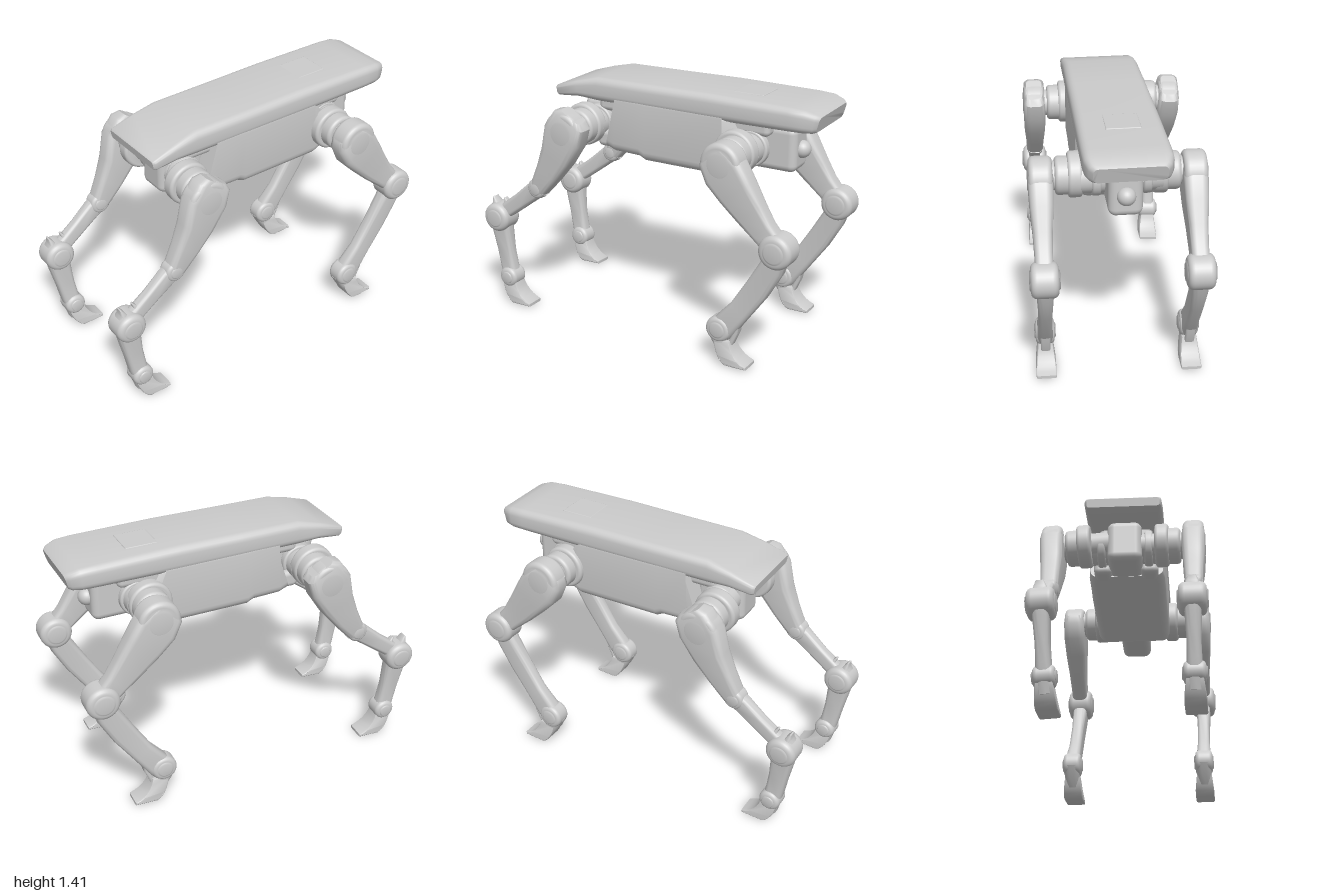
import * as THREE from 'three';
import { toCreasedNormals } from 'three/addons/utils/BufferGeometryUtils.js';
import { RoundedBoxGeometry } from 'three/addons/geometries/RoundedBoxGeometry.js';

const material = new THREE.MeshStandardMaterial({ color: 0xcccccc, roughness: 0.7 });

function add(parent, name, geometry, x = 0, y = 0, z = 0) {
  const mesh = new THREE.Mesh(geometry, material);
  mesh.name = name;
  mesh.position.set(x, y, z);
  parent.add(mesh);
  return mesh;
}

// Rounded-rectangle sections swept along a path in the xy plane.
// Each station: [x, y, half thickness in plane, half depth in z, z centre]
function sweep(stations, round = 0.7, steps = 5) {
  const pos = [], index = [], n = 4 * (steps + 1);
  stations.forEach(([x, y, w, d, zc = 0], i) => {
    const a = stations[Math.max(i - 1, 0)], b = stations[Math.min(i + 1, stations.length - 1)];
    const len = Math.hypot(b[0] - a[0], b[1] - a[1]);
    const nx = -(b[1] - a[1]) / len, ny = (b[0] - a[0]) / len;
    const r = Math.min(w, d) * round;
    for (let c = 0; c < 4; c++) {
      const su = c === 0 || c === 3 ? 1 : -1, sv = c < 2 ? 1 : -1;
      for (let k = 0; k <= steps; k++) {
        const t = (c + k / steps) * Math.PI / 2;
        const u = su * (w - r) + r * Math.cos(t), v = sv * (d - r) + r * Math.sin(t);
        pos.push(x + nx * u, y + ny * u, zc + v);
      }
    }
  });
  const last = stations.length - 1;
  for (let i = 0; i < last; i++) for (let j = 0; j < n; j++) {
    const a = i * n + j, b = i * n + (j + 1) % n;
    index.push(a, b, a + n, b, b + n, a + n);
  }
  for (let j = 1; j < n - 1; j++) {
    index.push(0, j + 1, j, last * n, last * n + j, last * n + j + 1);
  }
  const g = new THREE.BufferGeometry();
  g.setAttribute('position', new THREE.Float32BufferAttribute(pos, 3));
  g.setIndex(index);
  return toCreasedNormals(g, 0.7);
}

// Rounded drum on the z axis with a shallow raised cap on both faces
function drum(r, depth) {
  const h = depth / 2, e = Math.min(r, h) * 0.4, pts = [];
  const half = [[0, h], [r * 0.5, h], [r * 0.6, h - 0.007], [r - e, h - 0.007]];
  for (let k = 1; k <= 5; k++) {
    const t = k / 5 * Math.PI / 2;
    half.push([r - e + e * Math.sin(t), h - 0.007 - e + e * Math.cos(t)]);
  }
  half.forEach(([x, y]) => pts.push(new THREE.Vector2(x, -y)));
  half.reverse().forEach(([x, y]) => pts.push(new THREE.Vector2(x, y)));
  return new THREE.LatheGeometry(pts, 36).rotateX(Math.PI / 2);
}

// Wedge foot with a flat sole, ankle at the heel and toe towards +x
function foot() {
  const s = new THREE.Shape();
  s.moveTo(-0.06, 0.14);
  s.quadraticCurveTo(-0.05, 0.06, 0.0, 0.01);
  s.lineTo(0.02, 0);
  s.lineTo(0.145, 0.005);
  s.lineTo(0.145, 0.022);
  s.quadraticCurveTo(0.06, 0.045, 0.035, 0.14);
  s.closePath();
  const g = new THREE.ExtrudeGeometry(s, {
    depth: 0.09, bevelThickness: 0.01, bevelSize: 0.006, bevelOffset: -0.006, bevelSegments: 2, curveSegments: 6,
  }).translate(0, 0, -0.045);
  const p = g.attributes.position;
  for (let i = 0; i < p.count; i++) p.setZ(i, p.getZ(i) * (1 - 2.4 * Math.max(0, p.getY(i) - 0.03)));
  return toCreasedNormals(g, 0.6);
}

// Actuator between body and leg; "side" points outwards
function hip(leg, x, side) {
  add(leg, 'hipFlange', drum(0.12, 0.09), x - 0.01, 1.13, -side * 0.175);
  add(leg, 'hipCollar', drum(0.1, 0.1), x, 1.13, -side * 0.115);
  add(leg, 'hipShaft', new THREE.CylinderGeometry(0.075, 0.075, 0.3, 28).rotateX(Math.PI / 2), x, 1.13, -side * 0.18);
}

function frontLeg(side) {
  const leg = new THREE.Group();
  hip(leg, 0.56, side);
  add(leg, 'hipDrum', drum(0.115, 0.135), 0.575, 1.125, 0);
  add(leg, 'thigh', sweep([
    [0.5, 1.19, 0.06, 0.045], [0.53, 1.16, 0.1, 0.062], [0.59, 1.08, 0.122, 0.064], [0.66, 0.99, 0.108, 0.06],
    [0.74, 0.89, 0.088, 0.05], [0.81, 0.81, 0.07, 0.046], [0.89, 0.73, 0.06, 0.046],
  ], 0.6));
  add(leg, 'kneeDrum', drum(0.093, 0.155), 0.9, 0.72, 0);
  add(leg, 'shin', sweep([
    [0.91, 0.72, 0.06, 0.046], [0.87, 0.62, 0.066, 0.042], [0.79, 0.48, 0.067, 0.036],
    [0.69, 0.33, 0.062, 0.036], [0.61, 0.23, 0.07, 0.042], [0.575, 0.17, 0.06, 0.036],
  ]));
  // Ankle housing with a thin strut behind it
  add(leg, 'ankleDrum', drum(0.072, 0.115), 0.575, 0.2, 0);
  add(leg, 'ankle', sweep([[0.555, 0.2, 0.055, 0.046], [0.58, 0.14, 0.05, 0.044], [0.61, 0.08, 0.04, 0.038]]));
  add(leg, 'ankleStrut', sweep([
    [0.69, 0.3, 0.014, 0.03], [0.675, 0.2, 0.012, 0.026], [0.635, 0.11, 0.014, 0.026],
  ]));
  add(leg, 'foot', foot(), 0.61, 0.005, 0);
  return leg;
}

function rearLeg(side) {
  const leg = new THREE.Group();
  hip(leg, -0.4, side);
  add(leg, 'hipDrum', drum(0.118, 0.13), -0.415, 1.125, 0);
  add(leg, 'thigh', sweep([
    [-0.36, 1.225, 0.07, 0.045], [-0.375, 1.2, 0.105, 0.058], [-0.42, 1.11, 0.124, 0.063], [-0.475, 0.98, 0.098, 0.06],
    [-0.54, 0.87, 0.076, 0.052], [-0.6, 0.78, 0.058, 0.048], [-0.63, 0.73, 0.045, 0.04],
  ], 0.6));
  add(leg, 'kneeDrum', drum(0.058, 0.1), -0.62, 0.76, 0);
  add(leg, 'link', sweep([
    [-0.59, 0.77, 0.05, 0.044], [-0.66, 0.73, 0.052, 0.036], [-0.76, 0.65, 0.047, 0.032], [-0.91, 0.54, 0.045, 0.036],
  ]));
  add(leg, 'hockDrum', drum(0.085, 0.155), -0.91, 0.53, 0);
  // Small pointed guards above the hock
  add(leg, 'hockGuardBack', sweep([[-0.955, 0.56, 0.03, 0.04], [-0.935, 0.61, 0.018, 0.035], [-0.95, 0.645, 0.004, 0.02]]));
  add(leg, 'hockGuardFront', sweep([[-0.85, 0.57, 0.025, 0.035], [-0.855, 0.62, 0.014, 0.025], [-0.875, 0.65, 0.004, 0.012]]));
  add(leg, 'metatarsal', sweep([
    [-0.912, 0.54, 0.07, 0.046], [-0.905, 0.45, 0.062, 0.042], [-0.885, 0.32, 0.052, 0.036], [-0.867, 0.22, 0.05, 0.038],
    [-0.85, 0.15, 0.05, 0.042],
  ]));
  add(leg, 'ankleDrum', drum(0.06, 0.125), -0.85, 0.16, 0);
  add(leg, 'ankle', sweep([[-0.86, 0.16, 0.045, 0.044], [-0.84, 0.07, 0.04, 0.038]]));
  add(leg, 'foot', foot(), -0.835, 0.002, 0);
  return leg;
}

export function createModel() {
  const model = new THREE.Group();
  const torso = new THREE.Group();
  torso.name = 'torso';
  torso.rotation.y = 0.028;
  model.add(torso);

  // Top shell: thin tail wedge, long flat back, rounded nose
  add(torso, 'topShell', sweep([
    [-0.612, 1.295, 0.024, 0.2], [-0.6, 1.297, 0.03, 0.21], [-0.47, 1.322, 0.045, 0.214], [-0.34, 1.333, 0.067, 0.214],
    [0, 1.334, 0.068, 0.217], [0.36, 1.336, 0.07, 0.22], [0.82, 1.335, 0.063, 0.222], [0.9, 1.333, 0.06, 0.218],
    [0.95, 1.325, 0.051, 0.2], [0.968, 1.32, 0.043, 0.18],
  ], 0.62));
  add(torso, 'backPanel', new RoundedBoxGeometry(0.18, 0.012, 0.18, 2, 0.005), 0.53, 1.4, -0.01);

  // Lower hull, deepest under the front half
  add(torso, 'hull', sweep([
    [-0.24, 1.17, 0.17, 0.205], [-0.225, 1.165, 0.175, 0.214], [-0.06, 1.163, 0.177, 0.216], [-0.03, 1.153, 0.187, 0.216],
    [0.45, 1.153, 0.187, 0.218], [0.49, 1.165, 0.17, 0.216], [0.53, 1.19, 0.14, 0.2],
  ], 0.3));
  add(torso, 'shellNeck', new RoundedBoxGeometry(1.05, 0.1, 0.3, 3, 0.03), 0.16, 1.25, 0);

  // Front and rear actuator housings
  add(torso, 'chestBox', new RoundedBoxGeometry(0.34, 0.25, 0.175, 4, 0.04), 0.64, 1.13, 0);
  add(torso, 'chestKnob', new THREE.SphereGeometry(0.048, 24, 16), 0.813, 1.125, 0);
  add(torso, 'rearBox', new RoundedBoxGeometry(0.28, 0.24, 0.19, 4, 0.04), -0.36, 1.13, 0);
  for (const [x, name] of [[0.58, 'frontAxle'], [-0.38, 'rearAxle']]) {
    add(torso, name, new THREE.CylinderGeometry(0.085, 0.085, 0.42, 28).rotateX(Math.PI / 2), x, 1.13, 0);
    for (const s of [1, -1]) add(torso, name + 'Ring', drum(0.1, 0.06), x, 1.13, s * 0.13);
  }
  for (const s of [1, -1]) {
    add(torso, 'rearMount', new RoundedBoxGeometry(0.16, 0.1, 0.1, 3, 0.03), -0.28, 1.05, s * 0.13);
  }

  // Legs: [builder, name, side, x shift, z at ground, lean about x]
  const legs = [
    [frontLeg, 'frontLeftLeg', 1, 0, 0.392, 0],
    [frontLeg, 'frontRightLeg', -1, -0.015, -0.395, 0],
    [rearLeg, 'rearLeftLeg', 1, 0, 0.392, 0],
    [rearLeg, 'rearRightLeg', -1, -0.012, -0.33, -0.05],
  ];
  for (const [build, name, side, x, z, lean] of legs) {
    const leg = build(side);
    leg.name = name;
    leg.position.set(x, 0, z);
    leg.rotation.x = lean;
    model.add(leg);
  }
  return model;
}
